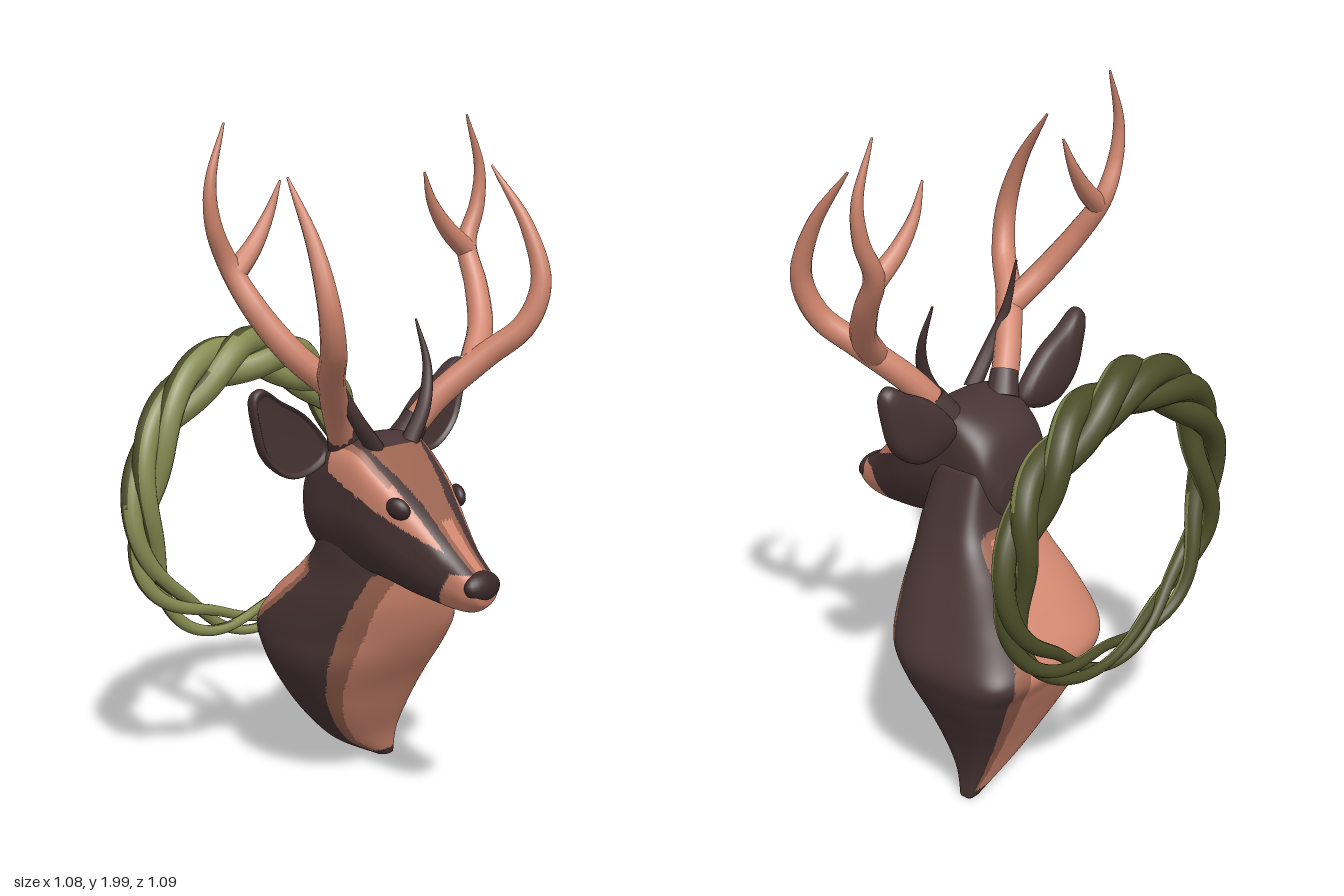
import * as THREE from 'three';

const mat = (name, color) => {
  const m = new THREE.MeshStandardMaterial({ color });
  m.name = name;
  return m;
};
const V = (p) => new THREE.Vector3(...p);
const clamp = THREE.MathUtils.clamp;

// Smooth interpolation through a table of rows, t in 0..1
function rowAt(rows, t) {
  const f = t * (rows.length - 1), i = Math.min(Math.floor(f), rows.length - 2), u = f - i;
  const a = rows[Math.max(i - 1, 0)], b = rows[i], c = rows[i + 1], d = rows[Math.min(i + 2, rows.length - 1)];
  return b.map((_, k) => {
    const m0 = (c[k] - a[k]) / 2, m1 = (d[k] - b[k]) / 2;
    return (2 * u ** 3 - 3 * u * u + 1) * b[k] + (u ** 3 - 2 * u * u + u) * m0
      + (3 * u * u - 2 * u ** 3) * c[k] + (u ** 3 - u * u) * m1;
  });
}

// Skin over rings of points, closed at both ends
function loft(ringAt, n, m) {
  const pos = [], idx = [];
  for (let i = 0; i <= n; i++)
    for (let j = 0; j < m; j++) pos.push(...ringAt(i / n, (j / m) * Math.PI * 2));
  for (let i = 0; i < n; i++)
    for (let j = 0; j < m; j++) {
      const a = i * m + j, b = i * m + (j + 1) % m;
      idx.push(a, a + m, b, b, a + m, b + m);
    }
  for (const [ring, flip] of [[0, false], [n, true]]) {
    const c = new THREE.Vector3(), s = ring * m, k = pos.length / 3;
    for (let j = 0; j < m; j++) c.add(V(pos.slice((s + j) * 3, (s + j) * 3 + 3)));
    c.divideScalar(m);
    pos.push(c.x, c.y, c.z);
    for (let j = 0; j < m; j++) {
      const a = s + j, b = s + (j + 1) % m;
      idx.push(k, flip ? b : a, flip ? a : b);
    }
  }
  const g = new THREE.BufferGeometry();
  g.setAttribute('position', new THREE.Float32BufferAttribute(pos, 3));
  g.setIndex(idx);
  g.computeVertexNormals();
  return g;
}

// Sort triangles into material groups by a rule on centre and face normal
function paint(geo, count, rule) {
  const p = geo.attributes.position, ix = geo.index.array;
  const bins = Array.from({ length: count }, () => []);
  const tri = new THREE.Triangle(), c = new THREE.Vector3(), n = new THREE.Vector3();
  for (let i = 0; i < ix.length; i += 3) {
    tri.setFromAttributeAndIndices(p, ix[i], ix[i + 1], ix[i + 2]);
    tri.getMidpoint(c);
    tri.getNormal(n);
    bins[rule(c, n)].push(ix[i], ix[i + 1], ix[i + 2]);
  }
  geo.setIndex(bins.flat());
  let start = 0;
  bins.forEach((b, k) => { geo.addGroup(start, b.length, k); start += b.length; });
  return geo;
}

// Tube whose radius follows a function of t
function taperTube(points, radius, n, m, closed = false) {
  const curve = new THREE.CatmullRomCurve3(points, closed);
  const g = new THREE.TubeGeometry(curve, n, 1, m, closed), p = g.attributes.position, v = new THREE.Vector3();
  for (let i = 0; i <= n; i++) {
    const c = curve.getPointAt(i / n), r = radius(i / n);
    for (let j = 0; j <= m; j++) {
      const k = i * (m + 1) + j;
      v.fromBufferAttribute(p, k).sub(c).multiplyScalar(r).add(c);
      p.setXYZ(k, v.x, v.y, v.z);
    }
  }
  return g;
}

const power = (v, p) => Math.sign(v) * Math.abs(v) ** (2 / p);

// Bust sections: y, back x, front x, min z, max z, dark flank start and end (share of depth)
const BUST = [
  [0.01, -0.21, -0.16, -0.33, -0.27, 0.2, 0.8], [0.1, -0.245, -0.125, -0.335, -0.1, 0.2, 0.78],
  [0.2, -0.29, -0.07, -0.36, 0.01, 0.19, 0.78], [0.3, -0.34, -0.015, -0.4, 0.085, 0.18, 0.79],
  [0.41, -0.395, 0.055, -0.445, 0.14, 0.17, 0.81], [0.5, -0.43, 0.1, -0.455, 0.148, 0.18, 0.82],
  [0.6, -0.34, 0.13, -0.37, 0.143, 0.31, 0.84], [0.7, -0.21, 0.14, -0.275, 0.13, 0.37, 0.9],
  [0.79, -0.125, 0.14, -0.22, 0.13, 0.0, 1.2], [0.95, -0.09, 0.12, -0.15, 0.14, 0.0, 1.2],
];
// Head sections: x, top y, bottom y, half width, centre z
const HEAD = [
  [-0.125, 0.93, 0.79, 0.1, 0.0], [-0.09, 1.03, 0.75, 0.155, 0.005], [-0.03, 1.085, 0.735, 0.175, 0.01],
  [0.05, 1.115, 0.72, 0.18, 0.012], [0.13, 1.11, 0.71, 0.18, 0.015], [0.2, 1.06, 0.7, 0.17, 0.018],
  [0.27, 1.0, 0.685, 0.15, 0.02], [0.34, 0.93, 0.675, 0.12, 0.023], [0.42, 0.85, 0.667, 0.09, 0.028],
  [0.48, 0.8, 0.672, 0.074, 0.033], [0.515, 0.775, 0.692, 0.06, 0.035], [0.525, 0.755, 0.715, 0.04, 0.035],
];
const lookup = (rows, s) => {
  const k = Math.max(0, Math.min(rows.length - 2, rows.findIndex((r) => r[0] > s) - 1));
  const u = (s - rows[k][0]) / (rows[k + 1][0] - rows[k][0]);
  return rows[k].map((v, i) => v + (rows[k + 1][i] - v) * u);
};

export function createModel() {
  const model = new THREE.Group();
  const tan = mat('tan fur', 0xd0866e), brown = mat('brown fur', 0x9a634f), dark = mat('dark fur', 0x483434);
  const black = mat('nose and eyes', 0x3a2828), olive = mat('light vine', 0x858c52), moss = mat('dark vine', 0x4b4d28);
  const add = (name, geo, material, parent = model) => {
    const m = new THREE.Mesh(geo, material);
    m.name = name;
    parent.add(m);
    return m;
  };
  const fur = [tan, brown, dark];

  // Neck and shoulders: square at one back corner, chamfered at the other
  const bust = loft((t, a) => {
    const [y, x0, x1, z0, z1] = rowAt(BUST, t);
    const p = Math.cos(a) > 0 ? 2.5 : Math.sin(a) > 0 ? 2.4 : 5;
    return [(x0 + x1) / 2 + (x1 - x0) / 2 * power(Math.cos(a), p), y,
      (z0 + z1) / 2 + (z1 - z0) / 2 * power(Math.sin(a), p)];
  }, 90, 144);
  add('neckAndShoulders', paint(bust, 3, (c) => {
    const [, x0, x1, z0, z1, d0, d1] = lookup(BUST, c.y), u = (c.x - x0) / (x1 - x0);
    const v = (c.z - (z0 + z1) / 2) / ((z1 - z0) / 2);
    if ((u > d0 && u < d1) || c.y < 0.035 || (u < 0.5 && v < -0.74)) return 2;
    return (u > d0 - 0.07 && u < d1 + 0.1) || (u < 0.5 && v < -0.55) ? 1 : 0;
  }), fur);

  // Head, flat over the brow and narrow at the jaw
  const head = loft((t, a) => {
    const [x, y1, y0, w, zc] = rowAt(HEAD, t), h = Math.cos(a);
    const p = h > 0 ? 2.5 + 1.5 * clamp((0.42 - x) / 0.15, 0, 1) * clamp((x + 0.1) / 0.15, 0, 1) : 2.2;
    return [x, (y0 + y1) / 2 + (y1 - y0) / 2 * power(h, p),
      zc - w * power(Math.sin(a), p) * (0.87 + 0.13 * h)];
  }, 110, 144);
  add('head', paint(head, 3, (c) => {
    const [, top, , w, zc] = lookup(HEAD, c.x), t = Math.abs(c.z - zc) / w;
    if (c.x > 0.38 + 0.6 * (c.y - 0.68) && c.y < 0.785) return 0;
    const middle = 0.58 - 0.2 * clamp((c.x - 0.16) / 0.16, 0, 1);
    if (c.x > 0.16 && t < middle && c.y > top - 0.09) return c.x > 0.36 && t < 0.2 ? 0 : 1;
    const low = 1.02 - 0.5 * (c.x - 0.05);
    if (c.x > 0.04 && c.x < 0.42 && t > 0.68 && c.y > low) return t < 0.78 && c.x < 0.25 ? 1 : 0;
    return 2;
  }), fur);

  // Nose
  const nose = add('nose', new THREE.SphereGeometry(1, 24, 16), black);
  nose.scale.set(0.032, 0.042, 0.066);
  nose.position.set(0.502, 0.75, 0.035);
  nose.rotation.z = 0.3;

  // Ear outline in (z, y); rows give its scale and x, from the hollow over the rim to the back
  const earMid = new THREE.Vector3(0, 1.13, 0.29);
  const earLine = new THREE.CatmullRomCurve3([[1.07, 0.14], [1.025, 0.2], [1.018, 0.3], [1.085, 0.39], [1.18, 0.425],
    [1.265, 0.435], [1.285, 0.405], [1.245, 0.335], [1.185, 0.23]].map(([y, z]) => new THREE.Vector3(0, y, z)), true);
  const earHollow = [[0.05, -0.008], [0.45, -0.002], [0.83, 0.016]];
  const earShell = [[0.83, 0.016], [0.95, 0.028], [1, 0.014], [0.9, -0.014], [0.5, -0.03], [0.05, -0.034]];
  const earPart = (rows, s) => loft((t, a) => {
    const [k, x] = rowAt(rows, t), q = a / (Math.PI * 2);
    const p = earLine.getPoint(s > 0 ? 1 - q : q).sub(earMid).multiplyScalar(k).add(earMid);
    return [x, p.y, p.z * s];
  }, 15, 48);

  // Antler paths
  const beam = [[0.06, 1.09, 0.11], [0.11, 1.2, 0.19], [0.2, 1.32, 0.3], [0.285, 1.41, 0.375], [0.31, 1.53, 0.415], [0.255, 1.69, 0.415], [0.135, 1.86, 0.395]];
  const rear = [[0.17, 1.3, 0.28], [0.12, 1.39, 0.37], [0.05, 1.5, 0.43], [-0.02, 1.62, 0.465], [-0.025, 1.73, 0.515], [-0.025, 1.84, 0.525], [-0.03, 2.0, 0.47]];
  const inner = [[-0.01, 1.6, 0.455], [-0.02, 1.67, 0.375], [-0.025, 1.75, 0.315], [-0.02, 1.84, 0.275]];
  const spikes = {
    left: [[0.14, 1.09, 0.08], [0.145, 1.19, 0.165], [0.13, 1.31, 0.225], [0.1, 1.46, 0.235]],
    right: [[0.14, 1.09, -0.06], [0.145, 1.19, -0.115], [0.12, 1.3, -0.155], [0.08, 1.43, -0.15]],
  };
  const thin = (r, k) => (t) => r * (1 - t ** k) + 0.003;

  for (const [side, s] of [['left', 1], ['right', -1]]) {
    const tube = (name, pts, r, k) => add(`${side}${name}`,
      taperTube(pts.map(([x, y, z]) => V([x - 0.015 * s, y, z * s])), thin(r, k), 36, 12), tan);
    tube('AntlerBeam', beam, 0.038, 2.8);
    tube('AntlerRearBranch', rear, 0.036, 2);
    tube('AntlerInnerTine', inner, 0.028, 1.6);
    add(`${side}BrowTine`, taperTube(spikes[side].map(V), thin(0.023, 1.3), 24, 10), dark);
    // Dark collar at the antler foot
    const foot = add(`${side}AntlerFoot`, new THREE.CylinderGeometry(0.041, 0.05, 0.08, 16), dark);
    foot.position.set(0.07 - 0.015 * s, 1.115, 0.125 * s);
    foot.rotation.set(0.5 * s, 0, -0.3);

    add(`${side}EarHollow`, earPart(earHollow, s), tan);
    add(`${side}EarShell`, earPart(earShell, s), dark);

    // Eye
    const eye = add(`${side}Eye`, new THREE.SphereGeometry(1, 16, 12), black);
    eye.scale.set(0.037, 0.029, 0.02);
    eye.position.set(0.288, 0.95, 0.02 + 0.123 * s);
    eye.rotation.set(0, 0.4 * s, -0.5);
  }

  // Wreath of loosely twisted vines, thick at the top and thin at the bottom
  const wreath = new THREE.Group();
  wreath.name = 'wreath';
  model.add(wreath);
  for (let k = 0; k < 3; k++) {
    const pts = [];
    for (let i = 0; i < 90; i++) {
      const a = (i / 90) * Math.PI * 2, up = (1 + Math.cos(a)) / 2;
      const tw = a * 4 + (k * Math.PI * 2) / 3 + 0.5 * Math.sin(2 * a + k), off = 0.034 + 0.008 * up;
      const r = 0.435 - 0.04 * up + 0.008 * Math.sin(3 * a + 1) + off * Math.cos(tw);
      pts.push(V([-0.463 - 0.007 * up + off * (0.5 + 0.2 * up) * Math.sin(tw), 0.883 + r * Math.cos(a),
        r * Math.sin(a) * 1.05]));
    }
    const g = taperTube(pts, (t) => 0.015 + 0.029 * ((1 + Math.cos(t * Math.PI * 2)) / 2) ** 0.9, 240, 14, true);
    add(`vine${k + 1}`, paint(g, 2, (c, n) => (n.x > 0.3 ? 0 : 1)), [olive, moss], wreath);
  }
  return model;
}
